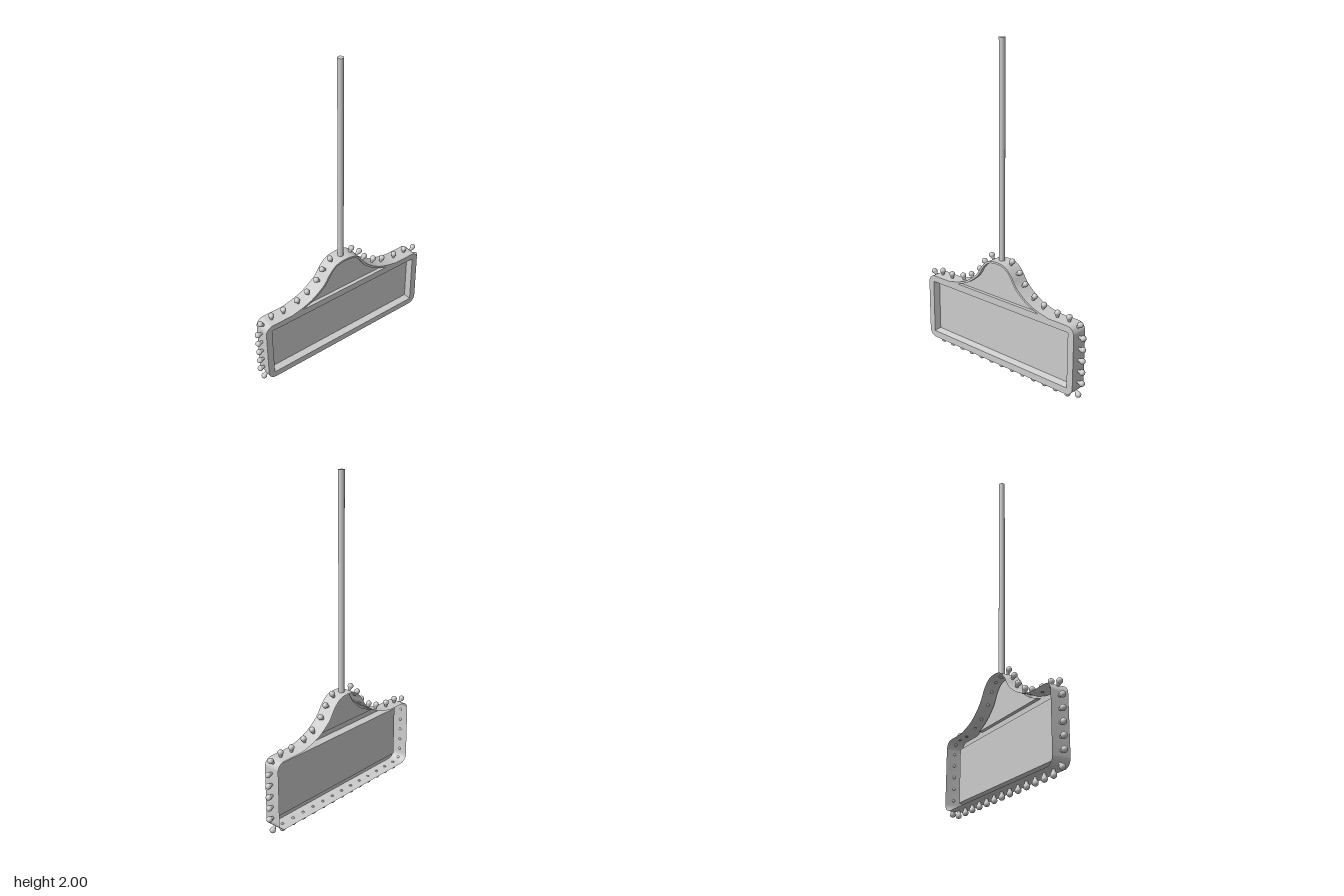
import * as THREE from 'three';
import { toCreasedNormals } from 'three/addons/utils/BufferGeometryUtils.js';

const V = (x, y) => new THREE.Vector2(x, y);
const FRONT = 0.052, BACK = -0.052;
const HALF = 0.583, LOW = 0.046, HIGH = 0.472, R = 0.05;
const material = new THREE.MeshStandardMaterial({ color: 0xcccccc, side: THREE.DoubleSide });

function addMesh(parent, name, geometry) {
  const mesh = new THREE.Mesh(geometry, material);
  mesh.name = name;
  parent.add(mesh);
  return mesh;
}

// Wall between two matching closed loops, each at its own depth
function wall(loopA, zA, loopB, zB) {
  const pos = [], index = [], n = loopA.length;
  loopA.forEach((p, i) => pos.push(p.x, p.y, zA, loopB[i].x, loopB[i].y, zB));
  for (let i = 0; i < n; i++) {
    const a = 2 * i, b = 2 * ((i + 1) % n);
    index.push(a, b, b + 1, a, b + 1, a + 1);
  }
  const g = new THREE.BufferGeometry();
  g.setAttribute('position', new THREE.Float32BufferAttribute(pos, 3));
  g.setIndex(index);
  return toCreasedNormals(g, 0.6);
}

// Flat sheet facing +z, with optional holes
function sheet(loop, z, holes = []) {
  const shape = new THREE.Shape(loop);
  shape.holes = holes.map((h) => new THREE.Path(h));
  return new THREE.ShapeGeometry(shape).translate(0, 0, z);
}

// Smooth arch from right to left, given the points of its right half from the foot up
function arch(half, divisions) {
  const left = half.slice(0, -1).reverse().map(([x, y]) => [-x, y]);
  return new THREE.SplineCurve([...half, ...left].map(([x, y]) => V(x, y))).getPoints(divisions);
}

function corner(cx, cy, start) {
  return Array.from({ length: 9 }, (_, i) => {
    const a = start + (i / 8) * Math.PI / 2;
    return V(cx + R * Math.cos(a), cy + R * Math.sin(a));
  });
}

const rect = (w, y0, y1) => [V(-w, y0), V(w, y0), V(w, y1), V(-w, y1)];

export function createModel() {
  const model = new THREE.Group();
  model.name = 'hangingSign';

  // Outline: rounded board with a bell-shaped crest
  const crest = arch([[0.4, HIGH], [0.317, 0.492], [0.242, 0.524], [0.163, 0.585],
    [0.118, 0.649], [0.069, 0.693], [0, 0.706]], 72);
  const cx = HALF - R;
  const outline = [
    ...corner(-cx, LOW + R, Math.PI), ...corner(cx, LOW + R, 1.5 * Math.PI),
    ...corner(cx, HIGH - R, 0), ...crest, ...corner(-cx, HIGH - R, Math.PI / 2),
  ];
  const panelRim = rect(0.542, 0.088, 0.432);
  const panelFloor = rect(0.531, 0.099, 0.421);
  const crestRim = arch([[0.325, 0.476], [0.235, 0.513], [0.152, 0.577],
    [0.107, 0.643], [0.063, 0.682], [0, 0.694]], 60);

  // Open-backed shell with two sunken panels
  const board = new THREE.Group();
  board.name = 'board';
  model.add(board);
  addMesh(board, 'outerWall', wall(outline, BACK, outline, FRONT));
  addMesh(board, 'frontFrame', sheet(outline, FRONT, [panelRim, crestRim]));
  addMesh(board, 'panelRecess', wall(panelRim, FRONT, panelFloor, FRONT - 0.04));
  addMesh(board, 'panel', sheet(panelFloor, FRONT - 0.04));
  addMesh(board, 'crestRecess', wall(crestRim, FRONT, crestRim, FRONT - 0.022));
  addMesh(board, 'crestPanel', sheet(crestRim, FRONT - 0.022));

  // Hanging pole
  addMesh(model, 'pole', new THREE.CylinderGeometry(0.018, 0.018, 1.3, 24)).position.y = 1.35;

  // Bulbs: narrow neck swelling into a round globe
  const profile = [V(0, -0.004), V(0.008, -0.004), V(0.009, 0.006)];
  for (let i = 0; i <= 10; i++) {
    const a = -0.8 + (i / 10) * (Math.PI / 2 + 0.8);
    profile.push(V(Math.max(0, 0.0175 * Math.cos(a)), 0.0275 + 0.0175 * Math.sin(a)));
  }
  const bulbGeometry = new THREE.LatheGeometry(profile, 16);
  const bulbs = new THREE.Group();
  bulbs.name = 'bulbs';
  model.add(bulbs);
  function bulb(x, y, nx, ny) {
    const m = addMesh(bulbs, 'bulb', bulbGeometry);
    m.position.set(x, y, 0);
    m.rotation.z = Math.atan2(-nx, ny);
  }

  for (let i = -6; i <= 6; i++) bulb(i * 0.085, LOW, 0, -1);
  const d = R * Math.SQRT1_2;
  for (const s of [-1, 1]) {
    for (let i = 0; i < 5; i++) bulb(s * HALF, 0.12 + i * 0.07, s, 0);
    bulb(s * (cx + d), LOW + R - d, s, -1);
    bulb(s * (cx + d), HIGH - R + d, s, 1);
    for (const x of [0.425, 0.51]) bulb(s * x, HIGH, 0, 1);
    // Along the crest, standing square to the curve
    for (const [x, y, nx, ny] of [[0.317, 0.492, 0.35, 0.94], [0.242, 0.524, 0.46, 0.89],
      [0.163, 0.585, 0.74, 0.67], [0.118, 0.649, 0.85, 0.53], [0.069, 0.693, 0.46, 0.89]]) {
      bulb(s * x, y, s * nx, ny);
    }
  }
  return model;
}
